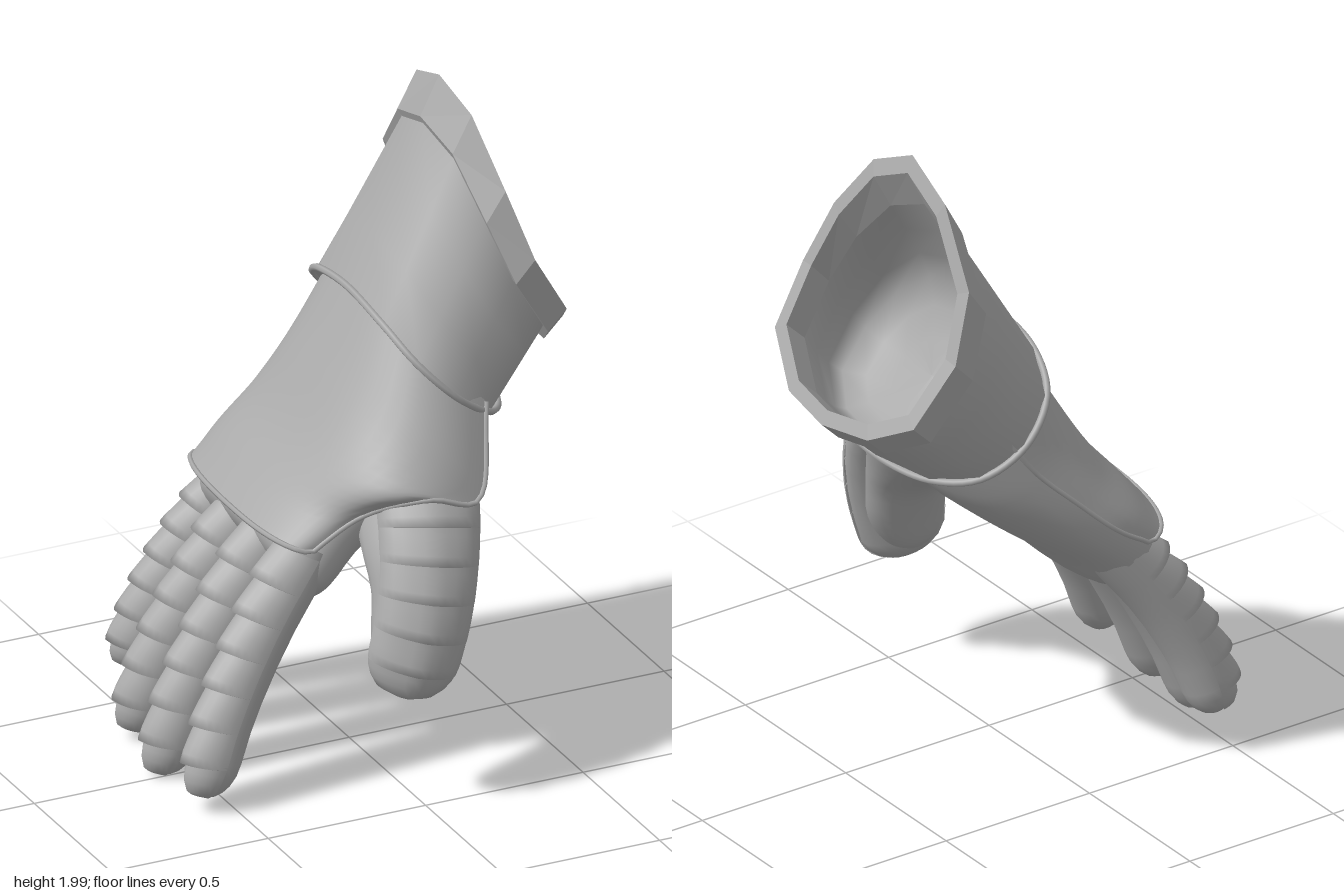
import * as THREE from 'three';

const V = (x, y, z) => new THREE.Vector3(x, y, z);
const steel = new THREE.MeshStandardMaterial({ color: 0xaaaaaa, side: THREE.DoubleSide });
steel.name = 'steel grey';

// Skin a list of equal-length rings; closed rings wrap round
function loft(rings, closed = true, flat = false) {
  const n = rings[0].length, pos = [], idx = [];
  rings.forEach((r) => r.forEach((p) => pos.push(p.x, p.y, p.z)));
  for (let i = 0; i < rings.length - 1; i++) {
    for (let j = 0; j < (closed ? n : n - 1); j++) {
      const a = i * n + j, b = i * n + (j + 1) % n, c = a + n, d = b + n;
      idx.push(a, b, c, b, d, c);
    }
  }
  let g = new THREE.BufferGeometry();
  g.setAttribute('position', new THREE.Float32BufferAttribute(pos, 3));
  g.setIndex(idx);
  if (flat) g = g.toNonIndexed();
  g.computeVertexNormals();
  return g;
}

function part(group, name, geometry) {
  const m = new THREE.Mesh(geometry, steel);
  m.name = name;
  group.add(m);
}

const centreOf = (ring) => ring.reduce((s, p) => s.add(p), V(0, 0, 0)).divideScalar(ring.length);
const shrink = (ring, k) => { const c = centreOf(ring); return ring.map((p) => c.clone().lerp(p, k)); };
const mix = (a, b, t) => a.map((p, i) => p.clone().lerp(b[i], t));
const spow = (v, e) => Math.sign(v) * Math.pow(Math.abs(v), e);

// Smooth a few rings into many along their length
function smooth(rings, steps) {
  const lines = rings[0].map((_, j) => new THREE.CatmullRomCurve3(rings.map((r) => r[j])));
  return Array.from({ length: steps + 1 }, (_, i) => lines.map((c) => c.getPoint(i / steps)));
}

// Oval section from a back point, a palm point and a z range; angle 0 is the back
function section([bx, by, px, py, z0, z1], n, e = 1, bulge = 0) {
  return Array.from({ length: n }, (_, i) => {
    const a = i / n * Math.PI * 2, c = spow(Math.cos(a), e), s = spow(Math.sin(a), e);
    const k = (1 + c) / 2, b = bulge * s * s;
    return V(px + (bx - px) * k - b * 0.8, py + (by - py) * k - b, (z0 + z1) / 2 - s * (z1 - z0) / 2);
  });
}

const lip = (pts, r, closed) =>
  new THREE.TubeGeometry(new THREE.CatmullRomCurve3(pts, closed, 'centripetal'), 80, r, 6, closed);

// Padded digit with overlapping, slightly ridged armour scales along its back
function digit(name, pts, back, rw, rn, scales, start, flare) {
  const g = new THREE.Group();
  g.name = name;
  const curve = new THREE.CatmullRomCurve3(pts);
  const slim = (t) => 1 - 0.14 * t;
  const dome = (t, from) => (t > from ? Math.sqrt(Math.max(0, 1 - ((t - from) / (1 - from)) ** 2)) : 1);
  const at = (t, n, w) => {
    t = Math.min(1, Math.max(0, t));
    const T = curve.getTangentAt(t);
    const N = back.clone().addScaledVector(T, -back.dot(T)).normalize();
    return curve.getPointAt(t).addScaledVector(N, n * rn).addScaledVector(T.clone().cross(N), w * rw);
  };
  const ts = [0, 0.15, 0.3, 0.45, 0.6, 0.72, 0.85, 0.9, 0.94, 0.97, 0.99, 1];
  part(g, 'digitPad', loft(ts.map((t) => Array.from({ length: 20 }, (_, j) => {
    const a = j / 20 * Math.PI * 2, r = slim(t) * dome(t, 0.85);
    return at(t, Math.cos(a) * r, Math.sin(a) * r);
  }))));
  const step = (1 - start) / scales;
  const row = (t, k) => Array.from({ length: 15 }, (_, j) => {
    const a = (j / 14 * 2 - 1) * 1.6, tt = t + 0.015 * Math.cos(a);
    const ridge = 0.65 * Math.cos(a) + 0.35 * (1 - Math.abs(a) / 1.6);
    const side = slim(tt) * (0.25 + 0.75 * dome(Math.min(tt, 1), 0.82));
    return at(tt, ridge * k * slim(tt) * (0.4 + 0.6 * dome(Math.min(tt, 1), 0.82)), Math.sin(a) * 1.05 * side);
  });
  for (let s = 0; s < scales; s++) {
    const t0 = start + s * step, rings = [];
    for (let i = 0; i <= 4; i++) rings.push(row(t0 + step * 1.08 * i / 4, 1.08 + flare * i / 4));
    // underside step of each scale
    rings.push(row(t0 + step * 1.08, 0.98));
    part(g, 'armourScale', loft(rings, false));
  }
  return g;
}

export function createModel() {
  const root = new THREE.Group();
  root.name = 'gauntlet';

  // Twelve-sided cuff rim, starting at its top and going round by -z
  const rim = [
    [0.33, 2.0, -0.09], [0.35, 1.93, -0.28], [0.385, 1.73, -0.45], [0.46, 1.53, -0.49],
    [0.575, 1.34, -0.445], [0.635, 1.26, -0.3], [0.655, 1.23, -0.1], [0.635, 1.25, 0.09],
    [0.565, 1.36, 0.26], [0.46, 1.54, 0.27], [0.4, 1.74, 0.2], [0.36, 1.93, 0.06],
  ].map((p) => V(...p));
  const rimBack = rim.map((p) => p.clone().add(V(-0.06, -0.06 - 0.12 * Math.max(0, p.y - 1.5), 0)));
  const rimInner = shrink(rim, 0.88), rimThroat = shrink(rimBack, 0.87);
  part(root, 'cuffRim', loft([shrink(rimBack, 0.9), rimBack, rim, rimInner, rimThroat], true, true));

  // Flared cuff with a rolled lower lip and a bowl-shaped hollow
  const cuffEnd = section([0.03, 1.4, 0.44, 1.05, -0.46, 0.31], 12, 0.85, 0.05);
  const cuffTop = shrink(rimBack, 0.94);
  part(root, 'cuff', loft([cuffTop, mix(cuffTop, cuffEnd, 0.33), mix(cuffTop, cuffEnd, 0.67), cuffEnd]));
  const throat = (t) => mix(rimThroat, shrink(cuffEnd, 0.92), t);
  part(root, 'cuffLining', loft([throat(0), throat(0.25), throat(0.5), shrink(throat(0.68), 0.94),
    shrink(throat(0.77), 0.72), shrink(throat(0.8), 0.4), shrink(throat(0.8), 0.01)]));
  part(root, 'cuffLip', lip(cuffEnd, 0.011, true));
  part(root, 'cuffLipUnderside', loft([cuffEnd, shrink(cuffEnd, 0.86)]));

  // Hand body from wrist to knuckles, hollowed in the palm
  const hand = smooth([
    [0.1, 1.37, 0.4, 1.11, -0.42, 0.26],
    [0.05, 1.29, 0.35, 1.03, -0.43, 0.27],
    [-0.03, 1.17, 0.27, 0.91, -0.45, 0.28],
    [-0.14, 1.0, 0.11, 0.77, -0.475, 0.27],
    [-0.25, 0.86, -0.03, 0.66, -0.48, 0.25],
    [-0.31, 0.77, -0.12, 0.57, -0.465, 0.25],
    [-0.31, 0.72, -0.17, 0.54, -0.45, 0.23],
    [-0.28, 0.66, -0.22, 0.55, -0.42, 0.2],
  ].map((s) => section(s, 32, 0.85)), 21);
  part(root, 'hand', loft([shrink(hand[0], 0.01), ...hand, shrink(hand[21], 0.01)]));

  // Ball of the thumb, spreading from the palm into the thumb: x range, z range, y
  const thumbBase = smooth([
    [0.12, 0.31, -0.08, 0.24, 1.12], [0.02, 0.29, -0.08, 0.34, 0.99], [-0.06, 0.235, 0.0, 0.42, 0.87],
    [-0.1, 0.185, 0.15, 0.47, 0.76], [-0.11, 0.15, 0.28, 0.5, 0.65], [-0.13, 0.12, 0.34, 0.51, 0.53],
    [-0.12, 0.06, 0.38, 0.5, 0.43], [-0.07, 0.0, 0.42, 0.49, 0.38],
  ].map(([x0, x1, z0, z1, y]) => Array.from({ length: 24 }, (_, i) => {
    const a = i / 24 * Math.PI * 2;
    return V((x0 + x1) / 2 + Math.cos(a) * (x1 - x0) / 2, y, (z0 + z1) / 2 + Math.sin(a) * (z1 - z0) / 2);
  })), 21);
  part(root, 'thumbBase', loft([shrink(thumbBase[0], 0.01), ...thumbBase, shrink(thumbBase[21], 0.01)]));

  // Back plate: each row has a -z edge, a crown and a thumb-side edge
  const rows = [
    [[0.27, 1.24, -0.44], [0.06, 1.39, -0.1], [0.3, 1.13, 0.28]],
    [[0.16, 1.08, -0.46], [-0.06, 1.18, -0.1], [0.21, 0.89, 0.41]],
    [[0.03, 0.95, -0.485], [-0.17, 1.0, -0.1], [0.05, 0.93, 0.42]],
    [[-0.1, 0.83, -0.505], [-0.27, 0.88, -0.1], [-0.1, 0.86, 0.3]],
    [[-0.22, 0.75, -0.49], [-0.35, 0.79, -0.03], [-0.25, 0.76, 0.265]],
  ];
  const across = 24;
  const plate = smooth(rows.map(([e0, m, e1]) => Array.from({ length: across + 1 }, (_, j) => {
    const a = (j / across * 2 - 1) * Math.PI / 2, e = a < 0 ? e0 : e1;
    const out = Math.pow(Math.abs(Math.sin(a)), 0.85), drop = 1 - Math.pow(Math.max(0, Math.cos(a)), 0.85);
    return V(m[0] + (e[0] - m[0]) * drop, m[1] + (e[1] - m[1]) * drop, m[2] + (e[2] - m[2]) * out);
  })), 20);
  part(root, 'backPlate', loft(plate, false));
  const border = [
    ...plate.map((r) => r[0]), ...plate[20].slice(1, -1), ...plate.map((r) => r[across]).reverse(),
  ];
  part(root, 'backPlateLip', lip(border, 0.008, false));

  // Four fingers: base, tip
  const fingers = [
    ['indexFinger', [-0.21, 0.73, 0.16], [-0.58, 0.05, 0.25]],
    ['middleFinger', [-0.22, 0.72, -0.02], [-0.585, 0.01, -0.02]],
    ['ringFinger', [-0.21, 0.71, -0.2], [-0.545, 0.03, -0.275]],
    ['littleFinger', [-0.17, 0.7, -0.38], [-0.46, 0.13, -0.48]],
  ];
  for (const [name, b, t] of fingers) {
    const base = V(...b), tip = V(...t), bow = V(-0.03, 0.015, 0);
    const pts = [base, base.clone().lerp(tip, 0.35).add(bow), base.clone().lerp(tip, 0.7).add(bow), tip];
    root.add(digit(name, pts, V(-0.86, 0.5, 0), 0.087, 0.09, 7, 0.03, 0.36));
  }

  // Thumb, armoured towards the front
  root.add(digit('thumb',
    [V(0.11, 0.97, 0.26), V(0.07, 0.8, 0.38), V(0.02, 0.6, 0.45), V(-0.055, 0.355, 0.47)],
    V(-0.25, 0, 1), 0.148, 0.085, 6, 0.12, 0.2));

  return root;
}
